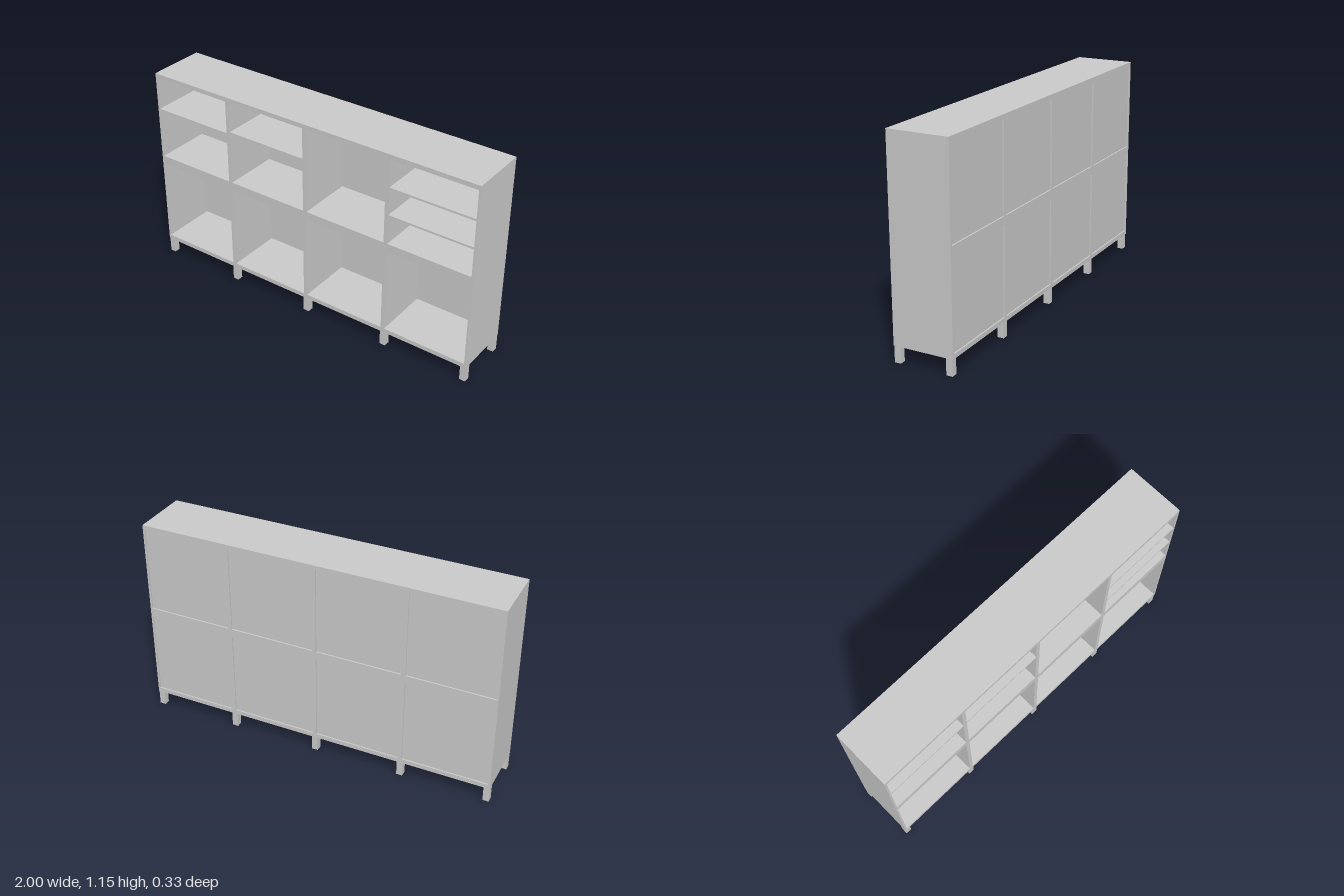
import * as THREE from 'three';

const material = new THREE.MeshStandardMaterial({ color: 0xcccccc, flatShading: true });

// Box given by its min and max corners
function box(parent, name, [x0, y0, z0], [x1, y1, z1]) {
  const mesh = new THREE.Mesh(new THREE.BoxGeometry(x1 - x0, y1 - y0, z1 - z0), material);
  mesh.name = name;
  mesh.position.set((x0 + x1) / 2, (y0 + y1) / 2, (z0 + z1) / 2);
  parent.add(mesh);
}

const W = 0.5;          // width of one cabinet
const H = 0.532;        // height of one cabinet
const D = 0.166;        // half depth
const BASE = 0.087;     // leg height
const SIDE = 0.011;     // side panel thickness
const SLAB = 0.025;     // top and bottom panel thickness
const BACK = -0.158;    // outer face of the recessed back panel
const BACK_T = 0.003;
const SHELF = 0.011;

// Open-fronted cabinet with shelves at the given heights
function cabinet(x, y, shelves) {
  const g = new THREE.Group();
  g.name = 'cabinet';
  box(g, 'bottomPanel', [x, y, -D], [x + W, y + SLAB, D]);
  box(g, 'topPanel', [x, y + H - SLAB, -D], [x + W, y + H, D]);
  for (const sx of [x, x + W - SIDE]) {
    box(g, 'sidePanel', [sx, y + SLAB, -D], [sx + SIDE, y + H - SLAB, D]);
  }
  box(g, 'backPanel', [x + SIDE, y + SLAB, BACK], [x + W - SIDE, y + H - SLAB, BACK + BACK_T]);
  for (const top of shelves) {
    box(g, 'shelf', [x + SIDE, top - SHELF, BACK + BACK_T], [x + W - SIDE, top, D]);
  }
  return g;
}

export function createModel() {
  const model = new THREE.Group();
  model.name = 'shelvingUnit';

  // Four plain lower cabinets, four upper ones with their own shelf heights
  const upperShelves = [[0.94], [0.953], [], [0.97, 0.813]];
  upperShelves.forEach((shelves, i) => {
    const x = -1 + i * W;
    model.add(cabinet(x, BASE, []));
    model.add(cabinet(x, BASE + H, shelves));
  });

  // Five pairs of square legs under the ends and seams
  const half = 0.017;
  for (const x of [-1 + half, -0.5, 0, 0.5, 1 - half]) {
    for (const z of [-0.145, 0.145]) {
      box(model, 'leg', [x - half, 0, z - half], [x + half, BASE, z + half]);
    }
  }
  return model;
}
